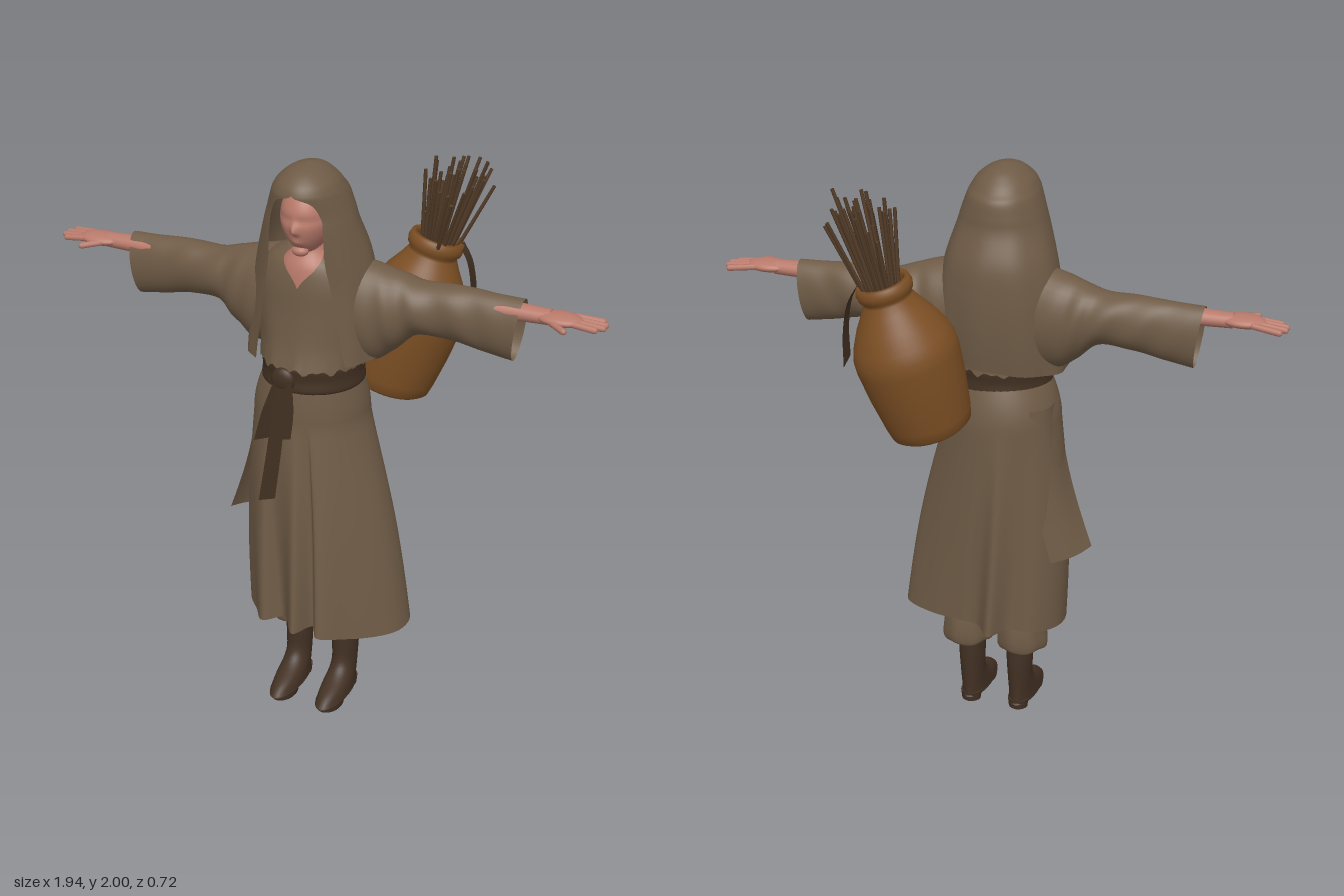
import * as THREE from 'three';
import { mergeVertices } from 'three/addons/utils/BufferGeometryUtils.js';

const mat = (name, color, side = THREE.FrontSide) => {
  const m = new THREE.MeshStandardMaterial({ color, side });
  m.name = name;
  return m;
};
const V = (x, y, z) => new THREE.Vector3(x, y, z);

// Smooth surface from a rule fn(u, v) -> [x, y, z]
function surface(fn, nu, nv) {
  const pos = [], idx = [];
  for (let j = 0; j <= nv; j++)
    for (let i = 0; i <= nu; i++) pos.push(...fn(i / nu, j / nv));
  for (let j = 0; j < nv; j++)
    for (let i = 0; i < nu; i++) {
      const a = j * (nu + 1) + i, b = a + nu + 1;
      idx.push(a, b, a + 1, b, b + 1, a + 1);
    }
  let g = new THREE.BufferGeometry();
  g.setAttribute('position', new THREE.Float32BufferAttribute(pos, 3));
  g.setIndex(idx);
  g = mergeVertices(g, 1e-4);
  g.computeVertexNormals();
  return g;
}

// Catmull-Rom sample of a table of section rows
function sample(rows, t) {
  const f = t * (rows.length - 1), i = Math.min(Math.floor(f), rows.length - 2), k = f - i;
  const at = n => rows[Math.max(0, Math.min(rows.length - 1, n))];
  const [p, q, r, s] = [at(i - 1), at(i), at(i + 1), at(i + 2)];
  return q.map((_, c) => 0.5 * (2 * q[c] + (r[c] - p[c]) * k
    + (2 * p[c] - 5 * q[c] + 4 * r[c] - s[c]) * k * k
    + (3 * q[c] - p[c] - 3 * r[c] + s[c]) * k * k * k));
}

// Stacked rings, top to bottom: [y, cx, cz, rx, rz, half angle open at the front]
function rings(rows, nu, nv, wobble = () => [0, 0]) {
  return surface((u, v) => {
    const [y, cx, cz, rx, rz, o = 0] = sample(rows, v);
    const open = Math.max(0, o), a = open + u * (2 * Math.PI - 2 * open);
    const [k, dy] = wobble(a, v);
    return [cx + Math.sin(a) * rx * (1 + k), y + dy, cz + Math.cos(a) * rz * (1 + k)];
  }, nu, nv);
}

// Cloth strip following a curve, widened along one axis
function ribbon(points, width, axis) {
  const c = new THREE.CatmullRomCurve3(points);
  return surface((u, v) => c.getPoint(v)
    .addScaledVector(axis, (u - 0.5) * width * (0.75 + 0.3 * v))
    .add(V(0, (u - 0.5) * 0.02 * v, 0)).toArray(), 4, 12);
}

export function createModel() {
  const model = new THREE.Group();
  model.name = 'robedTraveller';
  const robe = mat('robe cloth', 0x6f5b46, THREE.DoubleSide);
  const sash = mat('dark sash cloth', 0x423022, THREE.DoubleSide);
  const skin = mat('skin', 0xb87a6b);
  const leather = mat('boot leather', 0x433124);
  const clay = mat('clay', 0x7c4f24, THREE.DoubleSide);
  const wood = mat('dry wood', 0x533c28);
  const add = (name, geo, m, parent = model) => {
    const mesh = new THREE.Mesh(geo, m);
    mesh.name = name;
    parent.add(mesh);
    return mesh;
  };
  const blob = (name, p, s, m, parent) => {
    const b = add(name, new THREE.SphereGeometry(1, 24, 16), m, parent);
    b.position.set(...p);
    b.scale.set(...s);
  };

  // Head: sphere narrowed to the chin, with the nose drawn out of the same surface
  const head = new THREE.SphereGeometry(1, 64, 48), hp = head.attributes.position;
  for (let i = 0; i < hp.count; i++) {
    const x = hp.getX(i), y = hp.getY(i), z = hp.getZ(i);
    const taper = y < 0 ? 1 + 0.24 * y : 1;
    const front = z > 0.4 ? 1 : 0;
    const socket = 0.05 * Math.exp(-((y - 0.1) ** 2) / 0.015);
    const nose = 0.2 * Math.exp(-((x / 0.12) ** 2)) * Math.exp(-((y + 0.18) ** 2) / (y > -0.18 ? 0.05 : 0.006));
    const mouth = 0.06 * Math.exp(-((x / 0.25) ** 2) - ((y + 0.52) / 0.09) ** 2);
    hp.setXYZ(i, x * 0.088 * taper, 1.82 + y * 0.12, 0.122 + (z + front * (nose + mouth - socket)) * 0.106);
  }
  head.computeVertexNormals();
  add('head', head, skin);
  blob('chin', [0, 1.722, 0.186], [0.028, 0.018, 0.022], skin);
  add('neckAndChest', rings([[1.78, 0, 0.09, 0.05, 0.055], [1.71, 0, 0.09, 0.055, 0.065],
    [1.66, 0, 0.085, 0.1, 0.1], [1.58, 0, 0.08, 0.14, 0.115]], 28, 10), skin);

  // Hood: closed crown, jutting brim, open front, long hanging ends
  add('hood', rings([[2.0, 0, 0.115, 0, 0, 0], [1.985, 0, 0.12, 0.052, 0.07, 0],
    [1.955, 0, 0.122, 0.092, 0.112, 0], [1.925, 0, 0.118, 0.112, 0.134, 0],
    [1.9, 0, 0.108, 0.123, 0.145, 0.5], [1.85, 0, 0.1, 0.14, 0.146, 0.66],
    [1.8, 0, 0.096, 0.155, 0.15, 0.64], [1.7, 0, 0.074, 0.185, 0.166, 0.56],
    [1.6, 0, 0.066, 0.206, 0.168, 0.6], [1.5, 0, 0.068, 0.217, 0.17, 0.66],
    [1.41, 0, 0.073, 0.224, 0.168, 0.72], [1.335, 0, 0.08, 0.228, 0.165, 0.78]], 72, 60,
    (a, v) => [0.018 * Math.sin(a * 9) * v * v, 0.02 * Math.sin(a) * v ** 4]), robe);

  // Tunic with a V neck and a ragged lower edge
  add('tunic', rings([[1.71, 0, 0.08, 0.085, 0.085, 0.78], [1.67, 0, 0.078, 0.15, 0.118, 0.38],
    [1.6, 0, 0.075, 0.19, 0.138, 0], [1.5, 0, 0.075, 0.195, 0.146, 0],
    [1.4, 0, 0.08, 0.18, 0.155, 0], [1.325, 0, 0.085, 0.176, 0.17, 0]], 96, 30,
    (a, v) => [0.012 * Math.sin(a * 9) * v,
      (0.006 * Math.sin(a * 23) + 0.006 * Math.sin(a * 14 + 1)) * v ** 8]), robe);

  // Skirt: waist and hip ovals blended into a folded hem
  const hem = new THREE.CatmullRomCurve3([[0.04, 0.355], [0.08, 0.275], [0.12, 0.335], [0.2, 0.27],
    [0.335, 0.13], [0.335, 0.02], [0.22, -0.06], [0.1, -0.095], [0.03, -0.11], [-0.03, -0.18],
    [-0.08, -0.11], [-0.17, -0.09], [-0.235, 0], [-0.23, 0.12], [-0.165, 0.21], [-0.1, 0.295],
    [-0.04, 0.255]].map(([x, z]) => V(x, 0, z)), true);
  add('skirt', surface((u, v) => {
    const h = hem.getPoint(u % 1), a = Math.atan2(h.x - 0.02, h.z - 0.08);
    const s = Math.sin(a), c = Math.cos(a);
    const hip = V(-0.012 + 0.198 * s, 1.12, 0.07 + 0.185 * c);
    if (v < 0.25) {
      const k = v / 0.25;
      return V(0.155 * s, 1.3, 0.085 + 0.152 * c).lerp(hip, Math.sin(k * Math.PI / 2))
        .setY(1.3 - 0.18 * k).toArray();
    }
    h.y = 0.355 + 0.04 * Math.max(0, c) ** 4 + 0.025 * Math.max(0, -c);
    const t = (v - 0.25) / 0.75, p = hip.lerp(h, t);
    p.x += 0.018 * s * Math.sin(t * Math.PI);
    return p.toArray();
  }, 120, 32), robe);

  // Loose panel falling from the right hip
  add('sidePanel', surface((u, v) => {
    const a = V(-0.185, 1.2, 0.12).lerp(V(-0.33, 0.66, 0.07), v);
    const b = V(-0.14, 1.2, -0.06).lerp(V(-0.22, 0.64, -0.06), v);
    const p = a.lerp(b, u), bulge = 0.03 * Math.sin(u * Math.PI) * (1 - 0.6 * v);
    return [p.x - bulge + 0.02 * Math.sin(v * Math.PI), p.y, p.z - bulge];
  }, 10, 14), robe);

  // Sash with knot and hanging tails
  add('sash', rings([[1.335, 0, 0.085, 0.166, 0.16], [1.325, 0, 0.085, 0.172, 0.166],
    [1.29, 0, 0.085, 0.17, 0.163], [1.255, 0, 0.085, 0.173, 0.167],
    [1.245, 0, 0.085, 0.164, 0.158]], 48, 16), sash);
  blob('sashKnot', [-0.035, 1.29, 0.25], [0.042, 0.042, 0.02], sash);
  const X = V(1, 0, 0);
  add('sashTailShort', ribbon([V(-0.045, 1.28, 0.265), V(-0.085, 1.17, 0.262), V(-0.115, 1.06, 0.256)], 0.05, X), sash);
  add('sashTailWide', ribbon([V(-0.025, 1.29, 0.265), V(-0.025, 1.18, 0.268), V(-0.04, 1.08, 0.272)], 0.078, X), sash);
  add('sashTailLong', ribbon([V(-0.04, 1.27, 0.262), V(-0.055, 1.08, 0.27), V(-0.085, 0.85, 0.28)], 0.058, X), sash);

  // Arms: wide sleeve, forearm and hand, mirrored
  const sleeve = [[0.06, 1.7, 1.34, 0.06, 0.105], [0.2, 1.668, 1.33, 0.055, 0.11],
    [0.28, 1.645, 1.375, 0.045, 0.098], [0.36, 1.622, 1.44, 0.035, 0.084],
    [0.48, 1.624, 1.436, 0.026, 0.07], [0.59, 1.618, 1.415, 0.024, 0.06],
    [0.685, 1.615, 1.4, 0.022, 0.058]];
  for (const side of [1, -1]) {
    const arm = new THREE.Group();
    arm.name = side > 0 ? 'leftArm' : 'rightArm';
    arm.scale.x = side;
    model.add(arm);
    add('sleeve', surface((u, v) => {
      const [x, top, bottom, cz, hz] = sample(sleeve, v), a = u * 2 * Math.PI;
      const fold = 1 + 0.06 * Math.sin(v * 34 + a * 2) * Math.sin(v * Math.PI);
      return [x + 0.014 * Math.cos(a) * v, (top + bottom) / 2 + (top - bottom) / 2 * Math.cos(a),
        cz - hz * fold * Math.sin(a)];
    }, 36, 40), robe, arm);
    const fore = add('forearm', new THREE.CylinderGeometry(0.025, 0.034, 0.3, 20), skin, arm);
    fore.rotation.z = -Math.PI / 2;
    fore.scale.z = 1.25;
    fore.position.set(0.64, 1.575, 0.032);
    blob('palm', [0.82, 1.577, 0.036], [0.076, 0.021, 0.05], skin, arm);
    const fingers = [[0.86, -0.002, 0.945, -0.016], [0.87, 0.02, 0.96, 0.012],
      [0.87, 0.043, 0.96, 0.038], [0.865, 0.062, 0.94, 0.062], [0.79, 0.066, 0.855, 0.11]];
    for (const [x0, z0, x1, z1] of fingers) {
      const d = V(x1 - x0, -0.008, z1 - z0);
      const f = add(z1 > 0.1 ? 'thumb' : 'finger', new THREE.CapsuleGeometry(0.0105, d.length(), 4, 10), skin, arm);
      f.position.set((x0 + x1) / 2, 1.573, (z0 + z1) / 2);
      f.quaternion.setFromUnitVectors(V(0, 1, 0), d.normalize());
    }
  }

  // Legs: baggy trousers gathered over heeled boots
  for (const side of [1, -1]) {
    const leg = new THREE.Group();
    leg.name = side > 0 ? 'leftLeg' : 'rightLeg';
    leg.position.x = side > 0 ? 0.09 : -0.088;
    model.add(leg);
    const o = side * 0.012;
    add('trouserLeg', rings([[0.7, o, 0.03, 0.075, 0.085], [0.45, o, 0.02, 0.078, 0.09],
      [0.34, o, 0.015, 0.083, 0.1], [0.285, o, 0.015, 0.088, 0.1], [0.262, o, 0.015, 0.08, 0.088],
      [0.275, o, 0.015, 0.045, 0.05]], 40, 24, (a, v) => [0.04 * Math.sin(a * 7) * v, 0.006 * Math.sin(a * 5) * v]), robe, leg);
    add('boot', rings([[0.3, 0, 0.02, 0.046, 0.058], [0.2, 0, 0.02, 0.046, 0.058],
      [0.13, 0, 0.024, 0.043, 0.058], [0.09, 0, 0.042, 0.044, 0.074], [0.055, 0, 0.082, 0.048, 0.114],
      [0.028, 0, 0.1, 0.05, 0.132], [0.02, 0, 0.1, 0.047, 0.128], [0.02, 0, 0.1, 0, 0]], 32, 28), leather, leg);
    const heel = add('heel', new THREE.CylinderGeometry(0.038, 0.034, 0.035, 16), leather, leg);
    heel.position.set(0, 0.0175, 0.005);
    const sole = add('sole', new THREE.CylinderGeometry(0.047, 0.044, 0.024, 24), leather, leg);
    sole.scale.z = 1.5;
    sole.position.set(0, 0.012, 0.152);
  }

  // Clay jar leaning on the back
  const jar = add('jar', new THREE.LatheGeometry([[0, 0], [0.122, 0], [0.138, 0.012], [0.147, 0.05],
    [0.164, 0.16], [0.175, 0.27], [0.174, 0.31], [0.162, 0.35], [0.132, 0.41], [0.1, 0.46], [0.084, 0.49],
    [0.082, 0.5], [0.092, 0.51], [0.096, 0.53], [0.09, 0.55], [0.08, 0.555], [0.07, 0.54],
    [0.068, 0.48], [0.1, 0.4], [0, 0.36]].map(p => new THREE.Vector2(...p)), 48), clay);
  jar.position.set(0.168, 1.145, -0.155);
  jar.quaternion.setFromUnitVectors(V(0, 1, 0), V(0.145, 0.55, -0.075).normalize());
  add('jarCloth', ribbon([V(0.385, 1.655, -0.24), V(0.415, 1.6, -0.24), V(0.428, 1.5, -0.25),
    V(0.425, 1.39, -0.255)], 0.06, V(0, 0, 1)), sash);

  // Bundle of sticks fanning out of the jar
  let seed = 7;
  const rnd = () => (seed = (seed * 16807) % 2147483647) / 2147483647;
  const sticks = new THREE.Group();
  sticks.name = 'stickBundle';
  model.add(sticks);
  for (let i = 0; i < 34; i++) {
    const a = i * 2.4, r = Math.sqrt((i + 0.5) / 34);
    const p = V(0.285 + 0.035 * r * Math.cos(a), 1.53, -0.22 + 0.035 * r * Math.sin(a));
    const q = V(0.382 + 0.12 * r * Math.cos(a), 1.98 - 0.13 * r * rnd() - 0.05 * rnd(), -0.222 + 0.14 * r * Math.sin(a));
    const d = q.clone().sub(p);
    const s = add('stick', new THREE.CylinderGeometry(0.006, 0.0075, d.length(), 6), wood, sticks);
    s.position.copy(p).lerp(q, 0.5);
    s.quaternion.setFromUnitVectors(V(0, 1, 0), d.normalize());
  }
  return model;
}
